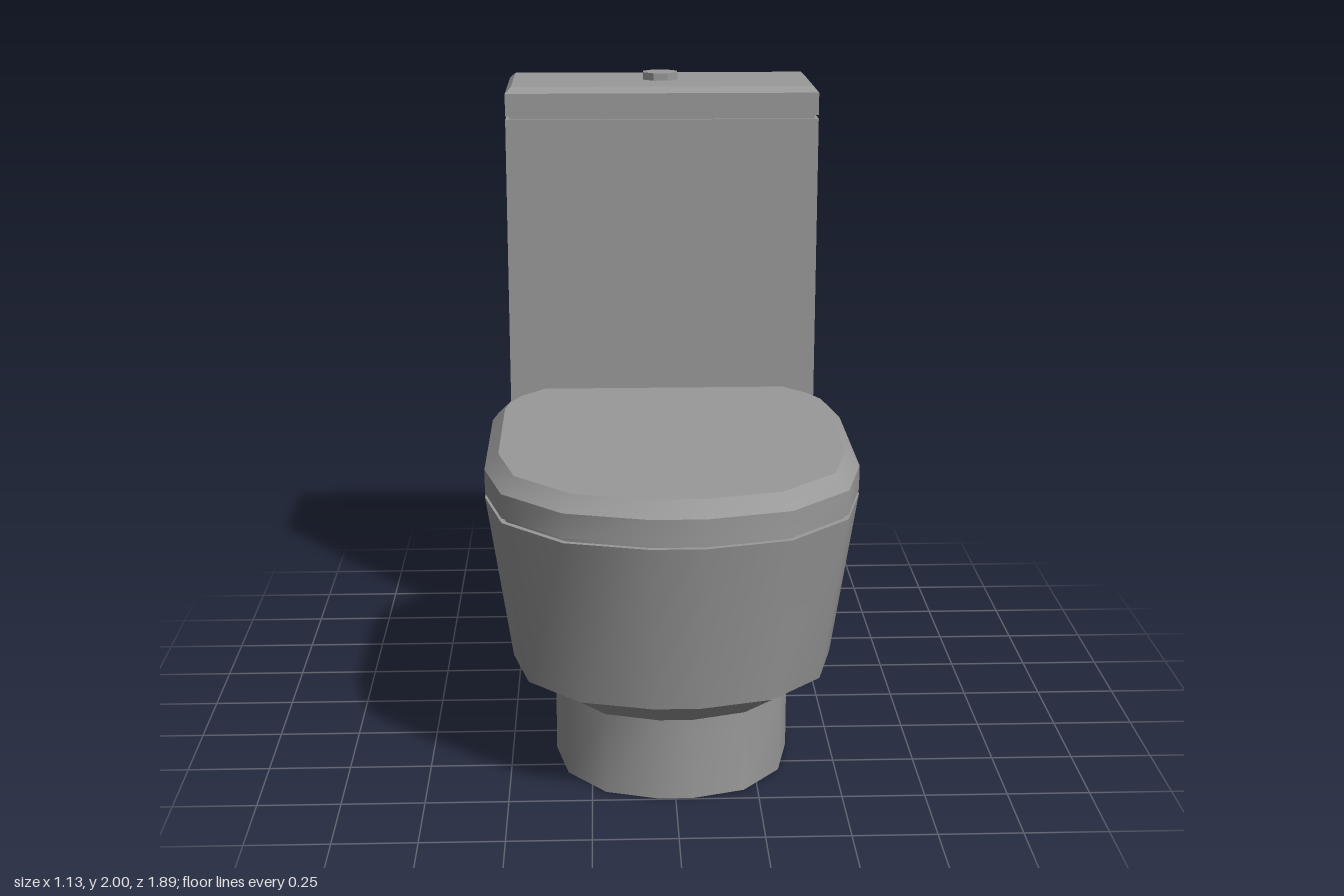
import * as THREE from 'three';
import { toCreasedNormals } from 'three/addons/utils/BufferGeometryUtils.js';

// Right half of a plan outline, front to back, mirrored into a closed loop of [x, z]
const mirror = (half) => [...half, ...half.slice().reverse().map(([x, z]) => [-x, z])];

// Closed solid through stacked copies of one outline; each layer gives y and a map of x and z
function loft(outline, layers) {
  const rings = layers.map(({ y, fx, fz }) => outline.map(([x, z]) => [fx(x), y, fz(z)]));
  const n = outline.length;
  const pos = [];
  const tri = (a, b, c) => pos.push(...a, ...b, ...c);
  for (let k = 0; k + 1 < rings.length; k++) {
    const lo = rings[k], hi = rings[k + 1];
    for (let i = 0; i < n; i++) {
      const j = (i + 1) % n;
      tri(lo[i], lo[j], hi[j]);
      tri(lo[i], hi[j], hi[i]);
    }
  }
  const flat = outline.map(([x, z]) => new THREE.Vector2(x, -z));
  const bottom = rings[0], top = rings[rings.length - 1];
  for (const [a, b, c] of THREE.ShapeUtils.triangulateShape(flat, [])) {
    tri(top[a], top[b], top[c]);
    tri(bottom[a], bottom[c], bottom[b]);
  }
  const geo = new THREE.BufferGeometry();
  geo.setAttribute('position', new THREE.Float32BufferAttribute(pos, 3));
  return toCreasedNormals(geo, 0.6);
}

// Layer that shrinks an outline of half sizes w, d around centre c by a margin
const inset = (y, margin, w, d, c) => ({
  y,
  fx: (x) => x * (1 - margin / w),
  fz: (z) => c + (z - c) * (1 - margin / d),
});

export function createModel() {
  const model = new THREE.Group();
  const ceramic = new THREE.MeshStandardMaterial({ color: 0x999999 });
  ceramic.name = 'grey ceramic';
  const add = (name, geometry) => {
    const mesh = new THREE.Mesh(geometry, ceramic);
    mesh.name = name;
    model.add(mesh);
    return mesh;
  };

  const seatHalf = [
    [0.08, 0.945], [0.325, 0.88], [0.505, 0.7], [0.565, 0.46],
    [0.565, -0.07], [0.55, -0.16], [0.51, -0.24], [0.43, -0.33],
  ];

  // Bowl with rear neck, tapering down to a straight foot
  const bowlLayer = (y, width, front, back, end) => ({
    y,
    fx: (x) => (x * width) / 0.565,
    fz: (z) => (z < -0.5 ? end : back + ((z + 0.33) * (front - back)) / 1.275),
  });
  add('bowl', loft(mirror([...seatHalf, [0.43, -0.7]]), [
    bowlLayer(0, 0.362, 0.745, -0.23, -0.515),
    bowlLayer(0.255, 0.362, 0.745, -0.23, -0.515),
    bowlLayer(0.335, 0.49, 0.845, -0.27, -0.615),
    bowlLayer(0.863, 0.565, 0.945, -0.325, -0.7),
  ]));

  // Seat lid with bevelled rim, standing on a thin shadow gap
  const seat = (y, margin) => inset(y, margin, 0.565, 0.635, 0.31);
  add('seatGap', loft(mirror(seatHalf), [seat(0.86, 0.015), seat(0.88, 0.015)]));
  add('seatLid', loft(mirror(seatHalf), [seat(0.877, 0), seat(0.951, 0), seat(0.997, 0.042)]));

  // Tank, its bevelled lid and the gap between them
  const tankOutline = mirror([[0.523, -0.49], [0.523, -0.946]]);
  const tank = (y, margin) => inset(y, margin, 0.523, 0.228, -0.718);
  add('tank', loft(tankOutline, [tank(0.42, 0), tank(1.868, 0)]));
  add('tankGap', loft(tankOutline, [tank(1.865, 0.012), tank(1.885, 0.012)]));
  add('tankLid', loft(tankOutline, [tank(1.881, 0), tank(1.955, 0), tank(1.975, 0.02)]));

  // Flush button
  const button = add('flushButton', toCreasedNormals(
    new THREE.CylinderGeometry(0.063, 0.063, 0.03, 8).rotateY(Math.PI / 8), 0.6));
  button.position.set(0, 1.985, -0.73);

  return model;
}
